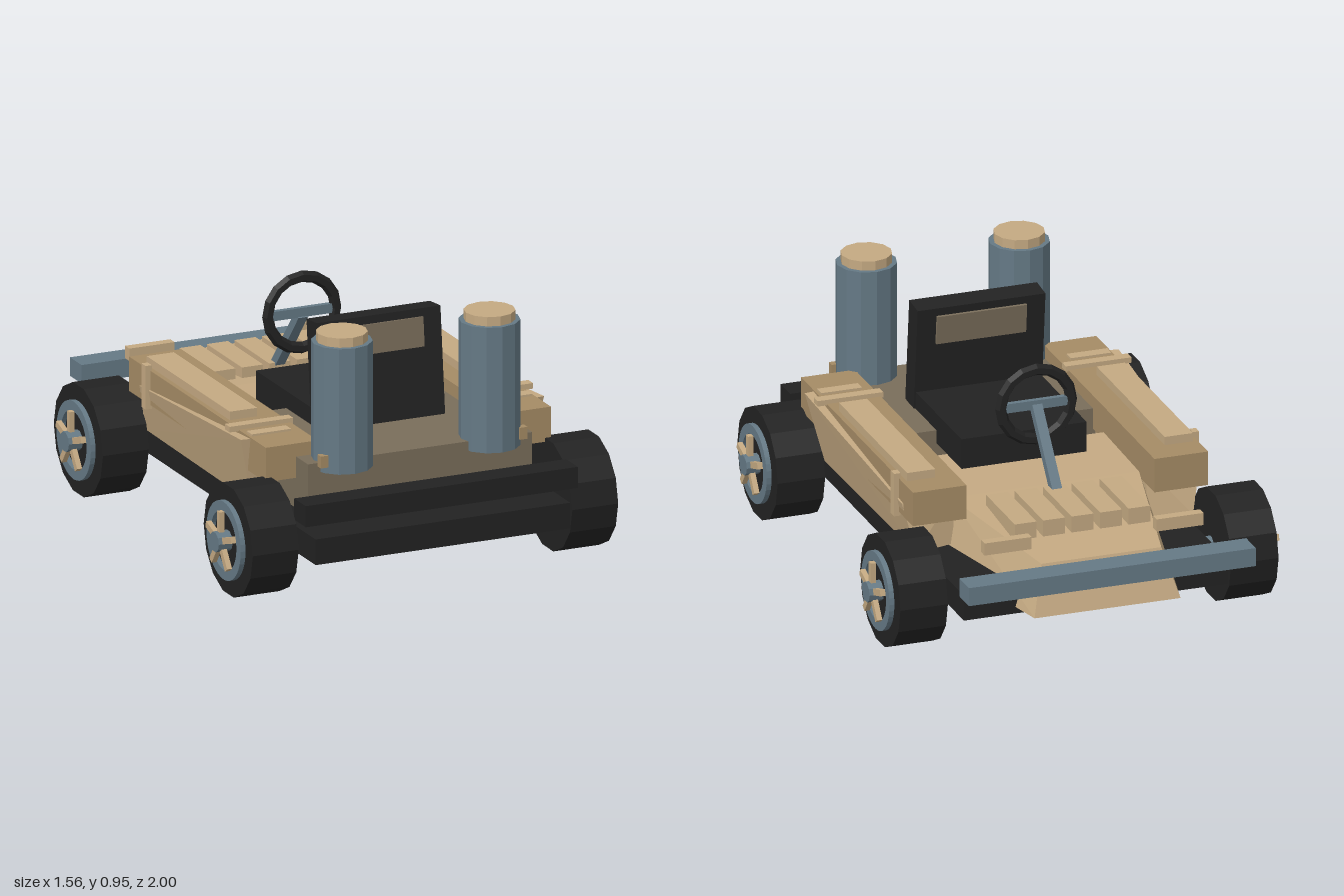
import * as THREE from 'three';
import { ConvexGeometry } from 'three/addons/geometries/ConvexGeometry.js';

const mat = (name, color) => {
  const m = new THREE.MeshStandardMaterial({ color, flatShading: true });
  m.name = name;
  return m;
};

export function createModel() {
  const tan = mat('light wood', 0xc4a982);
  const mid = mat('medium wood', 0xa58b65);
  const brown = mat('dark wood', 0x796d5a);
  const steel = mat('blue steel', 0x657985);
  const black = mat('black rubber', 0x222222);

  const kart = new THREE.Group();
  kart.name = 'kart';

  const add = (name, geo, material, parent = kart) => {
    const mesh = new THREE.Mesh(geo, material);
    mesh.name = name;
    parent.add(mesh);
    return mesh;
  };
  // box given by its ranges
  const box = (name, material, x0, x1, y0, y1, z0, z1, parent = kart) => {
    const geo = new THREE.BoxGeometry(Math.abs(x1 - x0), y1 - y0, z1 - z0);
    geo.translate((x0 + x1) / 2, (y0 + y1) / 2, (z0 + z1) / 2);
    return add(name, geo, material, parent);
  };
  const hull = (name, material, pts, parent = kart) =>
    add(name, new ConvexGeometry(pts.map(p => new THREE.Vector3(...p))), material, parent);
  // cylinder along x
  const disc = (name, material, r, x0, x1, sides, parent) => {
    const geo = new THREE.CylinderGeometry(r, r, x1 - x0, sides);
    geo.rotateZ(Math.PI / 2);
    geo.translate((x0 + x1) / 2, 0, 0);
    return add(name, geo, material, parent);
  };

  // chassis, deck and bumpers
  box('chassisPlate', black, -0.505, 0.505, 0.165, 0.262, -0.825, 1.0);
  box('rearBumper', black, -0.54, 0.54, 0.31, 0.39, 0.89, 0.99);
  box('frontBumper', steel, -0.55, 0.55, 0.295, 0.365, -1.0, -0.9);
  box('rearDeck', brown, -0.445, 0.445, 0.285, 0.48, 0.18, 0.805);

  // tapered nose running back to the cockpit floor
  const nose = [];
  for (const s of [-1, 1]) {
    nose.push([s * 0.23, 0.37, -0.885], [s * 0.28, 0.19, -0.95],
      [s * 0.36, 0.42, -0.3], [s * 0.42, 0.19, -0.3],
      [s * 0.36, 0.43, 0.07], [s * 0.42, 0.19, 0.12]);
  }
  hull('noseAndFloor', tan, nose);

  // hood slats
  for (let i = -2; i <= 2; i++) {
    const x = i * 0.109;
    box('hoodSlat', tan, x - 0.042, x + 0.042, 0.39, 0.452, -0.69, -0.39);
  }

  for (const s of [-1, 1]) {
    const side = new THREE.Group();
    side.name = s > 0 ? 'leftSide' : 'rightSide';
    kart.add(side);
    // side pod, flared panel and planks
    box('sidePod', mid, s * 0.36, s * 0.566, 0.4, 0.53, -0.46, 0.705, side);
    hull('sidePanel', tan, [
      [s * 0.37, 0.268, 0.53], [s * 0.54, 0.268, 0.53],
      [s * 0.37, 0.525, 0.6], [s * 0.602, 0.525, 0.57],
      [s * 0.37, 0.268, -0.36], [s * 0.53, 0.268, -0.4],
      [s * 0.37, 0.45, -0.34], [s * 0.572, 0.45, -0.36],
    ], side);
    box('topPlank', tan, s * 0.44, s * 0.548, 0.53, 0.562, -0.35, 0.36, side);
    box('crossStrap', tan, s * 0.35, s * 0.602, 0.525, 0.546, 0.435, 0.475, side);
    box('rearStrap', tan, s * 0.4, s * 0.556, 0.525, 0.538, 0.52, 0.565, side);
    box('sideStrap', tan, s * 0.56, s * 0.585, 0.385, 0.55, -0.315, -0.28, side);
    box('noseBlock', tan, s * 0.24, s * 0.42, 0.4, 0.447, -0.81, -0.773, side);
    box('cylinderBracket', mid, s * 0.38, s * 0.41, 0.47, 0.515, 0.81, 0.84, side);

    // upright rear cylinder with cap
    const body = new THREE.CylinderGeometry(0.112, 0.112, 0.475, 12);
    add('rearCylinder', body, steel, side).position.set(s * 0.293, 0.6825, 0.767);
    const cap = new THREE.CylinderGeometry(0.094, 0.094, 0.035, 12);
    add('cylinderCap', cap, tan, side).position.set(s * 0.293, 0.9375, 0.767);

    // wheels, built outward along +x and turned for the other side
    for (const z of [-0.552, 0.727]) {
      const wheel = new THREE.Group();
      wheel.name = z < 0 ? 'frontWheel' : 'rearWheel';
      wheel.position.set(0, 0.21, z);
      wheel.rotation.y = s > 0 ? 0 : Math.PI;
      side.add(wheel);
      disc('tire', black, 0.21, 0.543, 0.725, 14, wheel);
      disc('axle', steel, 0.03, 0.0, 0.55, 10, wheel);
      disc('hub', steel, 0.038, 0.72, 0.78, 10, wheel);
      const ring = new THREE.Shape().absarc(0, 0, 0.147, 0, Math.PI * 2);
      ring.holes.push(new THREE.Path().absarc(0, 0, 0.11, 0, Math.PI * 2, true));
      const rim = new THREE.ExtrudeGeometry(ring, { depth: 0.02, bevelEnabled: false, curveSegments: 18 });
      rim.rotateY(Math.PI / 2);
      rim.translate(0.724, 0, 0);
      add('rim', rim, steel, wheel);
      for (let i = 0; i < 5; i++) {
        const spoke = new THREE.BoxGeometry(0.02, 0.085, 0.024);
        spoke.translate(0.755, 0.07, 0);
        spoke.rotateX(i * Math.PI * 2 / 5);
        add('spoke', spoke, tan, wheel);
      }
    }
  }

  // seat with a leaning back and inset panel
  box('seatCushion', black, -0.24, 0.24, 0.43, 0.545, -0.08, 0.42);
  const back = new THREE.Group();
  back.name = 'seatBack';
  back.position.set(0, 0.48, 0.447);
  back.rotation.x = -0.1;
  kart.add(back);
  box('backrest', black, -0.245, 0.245, 0, 0.4, -0.045, 0.045, back);
  box('backrestPanel', brown, -0.172, 0.172, 0.26, 0.37, -0.056, 0.054, back);

  // steering column and wheel
  const from = new THREE.Vector3(0, 0.42, -0.43), to = new THREE.Vector3(0, 0.69, -0.205);
  const column = box('steeringColumn', steel, -0.019, 0.019, -0.176, 0.176, -0.017, 0.017);
  column.position.copy(from).add(to).multiplyScalar(0.5);
  column.rotation.x = Math.atan2(to.z - from.z, to.y - from.y);
  box('steeringBar', steel, -0.125, 0.125, 0.68, 0.715, -0.215, -0.195);
  add('steeringWheel', new THREE.TorusGeometry(0.135, 0.022, 6, 16), black).position.set(0, 0.697, -0.205);

  return kart;
}
